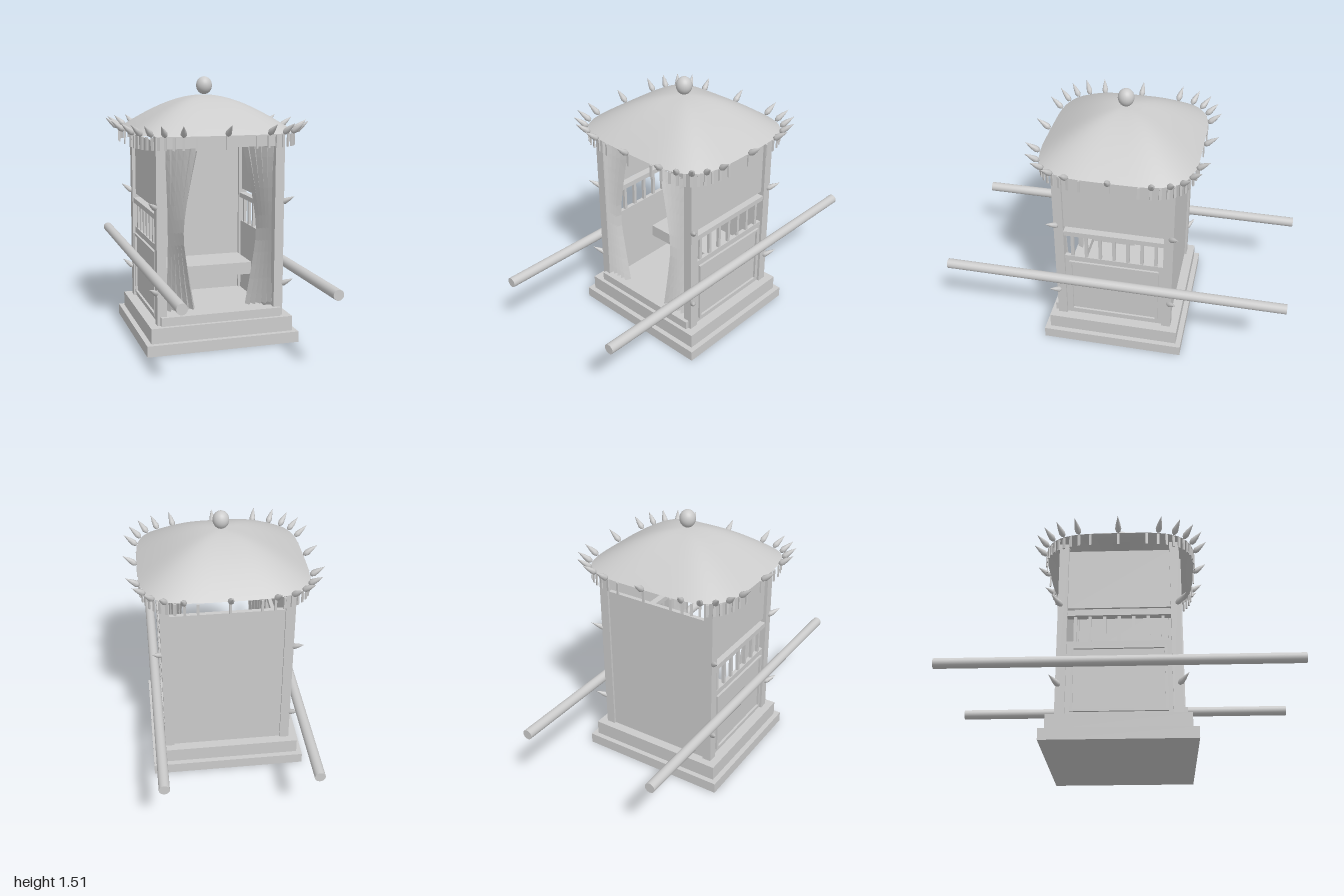
import * as THREE from 'three';

const material = new THREE.MeshStandardMaterial({ color: 0xcccccc });
const openMaterial = new THREE.MeshStandardMaterial({ color: 0xcccccc, side: THREE.DoubleSide });
const foldMaterial = new THREE.MeshStandardMaterial({ color: 0xcccccc, side: THREE.DoubleSide, flatShading: true });

const ROOF_X = 0.472, ROOF_Z = 0.44, RIM_Y = 1.21, ROOF_H = 0.2;

// Rounded-square outline of the roof
function rim(angle, scale = 1) {
  const c = Math.cos(angle), s = Math.sin(angle);
  return [
    ROOF_X * scale * Math.sign(c) * Math.sqrt(Math.abs(c)),
    ROOF_Z * scale * Math.sign(s) * Math.sqrt(Math.abs(s)),
  ];
}

// Domed shell made of concentric rounded-square rings
function roofGeometry(rings = 24, segments = 96) {
  const positions = [], index = [];
  for (let i = 0; i <= rings; i++) {
    const t = i / rings;
    const f = 0.8 * (1 - t * t) + 0.2 * Math.cos(Math.PI * t / 2) ** 2;
    for (let j = 0; j < segments; j++) {
      const [x, z] = rim(j / segments * Math.PI * 2, t);
      positions.push(x, RIM_Y + ROOF_H * f, z);
      if (i === rings) continue;
      const k = (j + 1) % segments, a = i * segments, b = a + segments;
      if (i > 0) index.push(a + j, a + k, b + j);
      index.push(a + k, b + k, b + j);
    }
  }
  const g = new THREE.BufferGeometry();
  g.setAttribute('position', new THREE.Float32BufferAttribute(positions, 3));
  g.setIndex(index);
  g.computeVertexNormals();
  return g;
}

// Pleated curtain, gathered at mid height
function curtainGeometry(side) {
  const inner = new THREE.SplineCurve([
    [0.15, 0.23], [0.19, 0.46], [0.213, 0.67], [0.18, 0.9], [0.13, 1.135],
  ].map(p => new THREE.Vector2(...p)));
  const folds = 10;
  const g = new THREE.PlaneGeometry(1, 1, folds, 12);
  const p = g.attributes.position;
  for (let i = 0; i < p.count; i++) {
    const u = p.getX(i) + 0.5, v = p.getY(i) + 0.5;
    const edge = inner.getPoint(v);
    const outer = 0.317 - 0.014 * Math.sin(Math.PI * v);
    const fold = Math.round(u * folds) % 2 ? 0.018 : -0.018;
    p.setXYZ(i, side * THREE.MathUtils.lerp(edge.x, outer, u), edge.y, 0.335 + fold);
  }
  const flat = g.toNonIndexed();
  flat.computeVertexNormals();
  return flat;
}

export function createModel() {
  const model = new THREE.Group();

  function add(name, geometry, x = 0, y = 0, z = 0, mat = material) {
    const mesh = new THREE.Mesh(geometry, mat);
    mesh.name = name;
    mesh.position.set(x, y, z);
    model.add(mesh);
    return mesh;
  }
  // Box given by its lower and upper limits on each axis
  function box(name, [x0, x1], [y0, y1], [z0, z1]) {
    return add(name, new THREE.BoxGeometry(x1 - x0, y1 - y0, z1 - z0),
      (x0 + x1) / 2, (y0 + y1) / 2, (z0 + z1) / 2);
  }
  // Box on the +x or -x side
  const sideBox = (name, s, [x0, x1], y, z) =>
    box(name, s > 0 ? [x0, x1] : [-x1, -x0], y, z);

  // Stepped base, front sill, back wall, bench and front beam
  box('baseLower', [-0.447, 0.447], [0, 0.063], [-0.415, 0.415]);
  box('baseUpper', [-0.417, 0.417], [0.063, 0.15], [-0.385, 0.385]);
  box('frontSill', [-0.354, 0.354], [0.15, 0.2], [0.29, 0.363]);
  box('backWall', [-0.318, 0.318], [0.15, 1.065], [-0.33, -0.305]);
  box('bench', [-0.317, 0.317], [0.3, 0.375], [-0.305, -0.04]);
  box('frontBeam', [-0.318, 0.318], [1.135, 1.205], [0.295, 0.335]);

  // Leaf-shaped spike, pointing along its own +y
  const spikeShape = [[0, 0], [0.012, 0.008], [0.018, 0.026], [0.012, 0.058], [0, 0.1]]
    .map(p => new THREE.Vector2(...p));
  const spikeGeometry = new THREE.LatheGeometry(spikeShape, 8);
  const up = new THREE.Vector3(0, 1, 0);
  function spike(name, x, y, z, direction, size = 1) {
    const mesh = add(name, spikeGeometry, x, y, z);
    mesh.quaternion.setFromUnitVectors(up, new THREE.Vector3(...direction).normalize());
    mesh.scale.setScalar(size);
  }

  for (const s of [-1, 1]) {
    // Corner posts with two spikes each
    for (const f of [-1, 1]) {
      sideBox('cornerPost', s, [0.318, 0.372], [0.15, 1.205], f > 0 ? [0.288, 0.342] : [-0.342, -0.288]);
      for (const y of [0.325, 0.805]) {
        spike('postSpike', s * 0.362, y, f * 0.318, [s * 0.6, 0.45, f * 0.55], 0.95);
      }
    }

    // Side wall: lower panel with moulding, balusters, rail and upper panel
    sideBox('sidePanel', s, [0.333, 0.357], [0.15, 0.59], [-0.29, 0.29]);
    for (const y of [0.18, 0.542]) {
      sideBox('panelMoulding', s, [0.355, 0.37], [y, y + 0.014], [-0.262, 0.262]);
    }
    for (const z of [-0.262, 0.248]) {
      sideBox('panelMoulding', s, [0.355, 0.37], [0.194, 0.542], [z, z + 0.014]);
    }
    for (let i = -3; i <= 3; i++) {
      sideBox('baluster', s, [0.336, 0.354], [0.59, 0.743], [i * 0.081 - 0.009, i * 0.081 + 0.009]);
    }
    sideBox('sideRail', s, [0.322, 0.368], [0.743, 0.773], [-0.29, 0.29]);
    sideBox('upperSidePanel', s, [0.338, 0.352], [0.797, 1.165], [-0.29, 0.29]);

    // Carrying pole
    add('carryingPole', new THREE.CylinderGeometry(0.029, 0.029, 2, 20), s * 0.407, 0.45, 0)
      .rotation.x = Math.PI / 2;

    add('curtain', curtainGeometry(s), 0, 0, 0, foldMaterial);
  }

  // Roof and finial
  add('roof', roofGeometry(), 0, 0, 0, openMaterial);
  add('finial', new THREE.SphereGeometry(0.046, 24, 16), 0, 1.463, 0).scale.y = 1.12;

  // Fringe strips hanging from the rim
  const stripGeometry = new THREE.BoxGeometry(0.008, 0.07, 0.014);
  for (let i = 0; i < 48; i++) {
    const a = i / 48 * Math.PI * 2, [x, z] = rim(a);
    add('fringeStrip', stripGeometry, x, 1.17, z).rotation.y = -a;
  }

  // Spikes leaning outward around the rim
  for (let i = 0; i < 24; i++) {
    const a = i / 24 * Math.PI * 2, [x, z] = rim(a);
    spike('rimSpike', x, 1.21, z, [Math.cos(a), 0.78, Math.sin(a)]);
  }

  return model;
}
